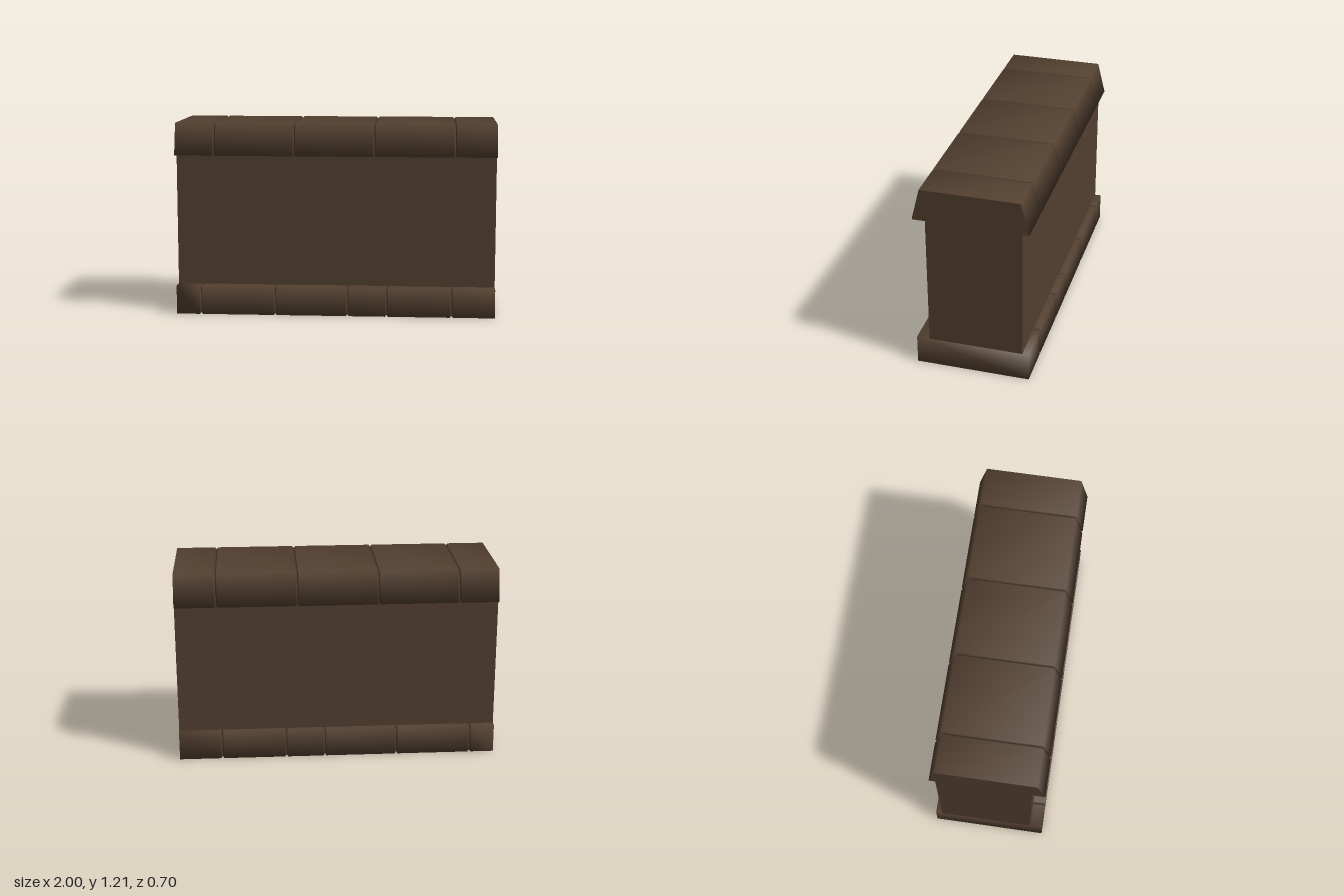
import * as THREE from 'three';

const CHAMFER = 0.01;

// One stone: a four-cornered [y, z] profile run from x0 to x1, chamfered at the inner joints.
function stoneGeometry(profile, x0, x1, flatEnds) {
  const midY = (profile[0][0] + profile[1][0]) / 2;
  const sections = [];
  const atLeft = x0 <= -1, atRight = x1 >= 1;
  if (!atLeft) sections.push([x0, CHAMFER]);
  sections.push([atLeft ? x0 : x0 + CHAMFER, 0]);
  sections.push([atRight ? x1 : x1 - CHAMFER, 0]);
  if (!atRight) sections.push([x1, CHAMFER]);

  const positions = [], index = [];
  const addSection = ([x, inset]) => {
    const start = positions.length / 3;
    for (const [y, z] of profile) {
      positions.push(x, y - Math.sign(y - midY) * inset, z - Math.sign(z) * inset);
    }
    return start;
  };
  const rings = sections.map(addSection);

  // Long faces and chamfers
  for (let i = 0; i < rings.length - 1; i++) {
    const a = rings[i], b = rings[i + 1];
    for (let j = 0; j < 4; j++) {
      const k = (j + 1) % 4;
      index.push(a + j, a + k, b + k, a + j, b + k, b + j);
    }
  }

  // End faces; the exposed ends may have their own corners to stay flat
  const last = sections.length - 1;
  const l = atLeft && flatEnds ? addSection(sections[0]) : rings[0];
  const r = atRight && flatEnds ? addSection(sections[last]) : rings[last];
  index.push(l, l + 2, l + 1, l, l + 3, l + 2);
  index.push(r, r + 1, r + 2, r, r + 2, r + 3);

  const geometry = new THREE.BufferGeometry();
  geometry.setAttribute('position', new THREE.Float32BufferAttribute(positions, 3));
  geometry.setIndex(index);
  geometry.computeVertexNormals();
  return geometry;
}

// A row of stones split at the given joints
function course(name, profile, joints, flatEnds, material) {
  const group = new THREE.Group();
  group.name = name;
  const xs = [-1, ...joints, 1];
  for (let i = 0; i < xs.length - 1; i++) {
    const stone = new THREE.Mesh(stoneGeometry(profile, xs[i], xs[i + 1], flatEnds), material);
    stone.name = name + 'Stone';
    group.add(stone);
  }
  return group;
}

export function createModel() {
  const model = new THREE.Group();
  model.name = 'lowWall';
  const brown = new THREE.MeshStandardMaterial({ color: 0x523f2f });
  brown.name = 'brownStone';

  // Plain wall body, set slightly towards the back
  const body = new THREE.Mesh(new THREE.BoxGeometry(2, 0.825, 0.58), brown);
  body.name = 'wallBody';
  body.position.set(0, 0.5925, -0.02);
  model.add(body);

  // Base stones
  const base = [[0, -0.35], [0.18, -0.35], [0.18, 0.35], [0, 0.35]];
  model.add(course('base', base, [-0.845, -0.375, 0.08, 0.325, 0.73], false, brown));

  // Sloping coping stones
  const coping = [[1.005, -0.35], [1.205, -0.3], [1.205, 0.3], [1.005, 0.35]];
  model.add(course('coping', coping, [-0.755, -0.255, 0.245, 0.745], true, brown));

  return model;
}
